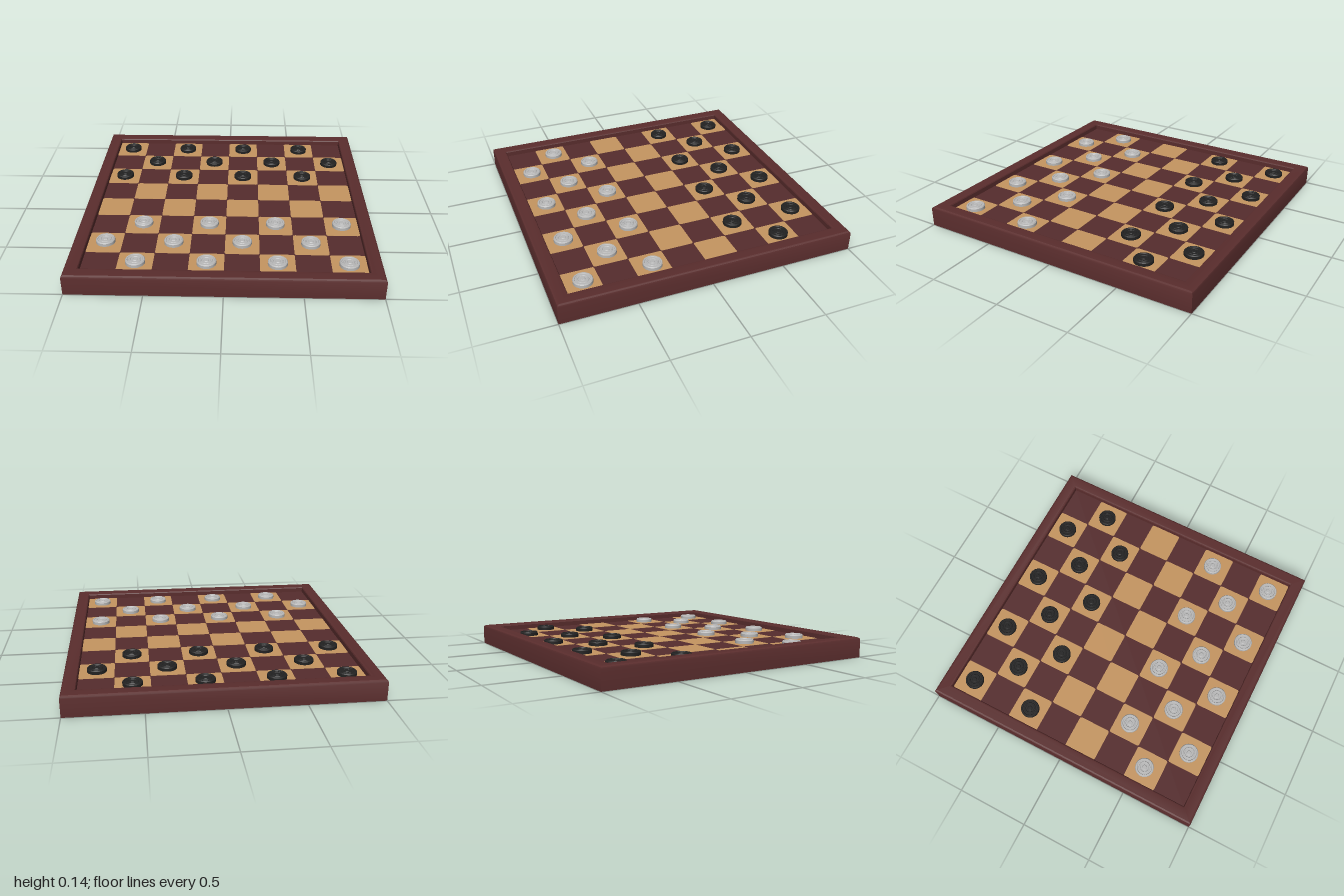
import * as THREE from 'three';
import { toCreasedNormals } from 'three/addons/utils/BufferGeometryUtils.js';

const mat = (name, color) => {
  const m = new THREE.MeshStandardMaterial({ color });
  m.name = name;
  return m;
};

const INNER = 0.91;          // half width of the playing field
const CELL = INNER * 2 / 8;  // one square
const BOARD_Y = 0.1;         // height of the playing surface

const lathe = (pts, segments, crease) => toCreasedNormals(
  new THREE.LatheGeometry(pts.map(([x, y]) => new THREE.Vector2(x, y)), segments), crease);

// Square ring: a four-sided lathe of the frame's cross-section
function frameGeometry() {
  const profile = [
    [INNER, 0], [1, 0], [1, 0.124], [0.996, 0.134], [0.986, 0.14],
    [0.922, 0.14], [0.914, 0.137], [INNER, 0.13], [INNER, 0],
  ].map(([r, y]) => [r * Math.SQRT2, y]);
  return lathe(profile, 4, 0.5).rotateY(Math.PI / 4);
}

// Square tile with slightly rounded corners, lying flat
function tileGeometry(size, r, thickness) {
  const h = size / 2;
  const s = new THREE.Shape();
  s.moveTo(-h + r, -h);
  s.lineTo(h - r, -h).quadraticCurveTo(h, -h, h, -h + r);
  s.lineTo(h, h - r).quadraticCurveTo(h, h, h - r, h);
  s.lineTo(-h + r, h).quadraticCurveTo(-h, h, -h, h - r);
  s.lineTo(-h, -h + r).quadraticCurveTo(-h, -h, -h + r, -h);
  return new THREE.ExtrudeGeometry(s, { depth: thickness, bevelEnabled: false, curveSegments: 4 })
    .translate(0, 0, -thickness / 2).rotateX(-Math.PI / 2);
}

// Round playing piece with a raised rim and rings on top
function pieceGeometry() {
  return lathe([
    [0, 0], [0.058, 0], [0.064, 0.006], [0.064, 0.032], [0.059, 0.038],
    [0.052, 0.038], [0.049, 0.033], [0.04, 0.033], [0.037, 0.037],
    [0.031, 0.037], [0.028, 0.033], [0.017, 0.033], [0.013, 0.037], [0, 0.037],
  ], 28, 0.6);
}

export function createModel() {
  const frameWood = mat('frame wood', 0x5a2d2d);
  const darkWood = mat('dark square wood', 0x552c2d);
  const lightWood = mat('light square wood', 0xc59560);
  const blackPaint = mat('black piece', 0x222222);
  const silverPaint = mat('silver piece', 0xb8b8b8);

  const model = new THREE.Group();
  model.name = 'checkersBoard';
  const add = (name, geometry, material, x = 0, y = 0, z = 0) => {
    const mesh = new THREE.Mesh(geometry, material);
    mesh.name = name;
    mesh.position.set(x, y, z);
    model.add(mesh);
  };

  add('frame', frameGeometry(), frameWood);

  // Dark panel, open underneath, with the light squares showing on both faces
  add('darkSquares', new THREE.BoxGeometry(INNER * 2, 0.006, INNER * 2), darkWood, 0, BOARD_Y - 0.005, 0);

  const tile = tileGeometry(CELL, 0.015, 0.009);
  const piece = pieceGeometry();
  for (let row = 0; row < 8; row++) {
    for (let col = 0; col < 8; col++) {
      if ((row + col) % 2) continue;
      const x = (col - 3.5) * CELL;
      const z = (row - 3.5) * CELL;
      add('lightSquare', tile, lightWood, x, BOARD_Y - 0.005, z);
      // Three rows of pieces on each side
      if (row < 3) add('blackPiece', piece, blackPaint, x, BOARD_Y - 0.012, z);
      if (row > 4) add('silverPiece', piece, silverPaint, x, BOARD_Y - 0.012, z - 0.01);
    }
  }
  return model;
}
